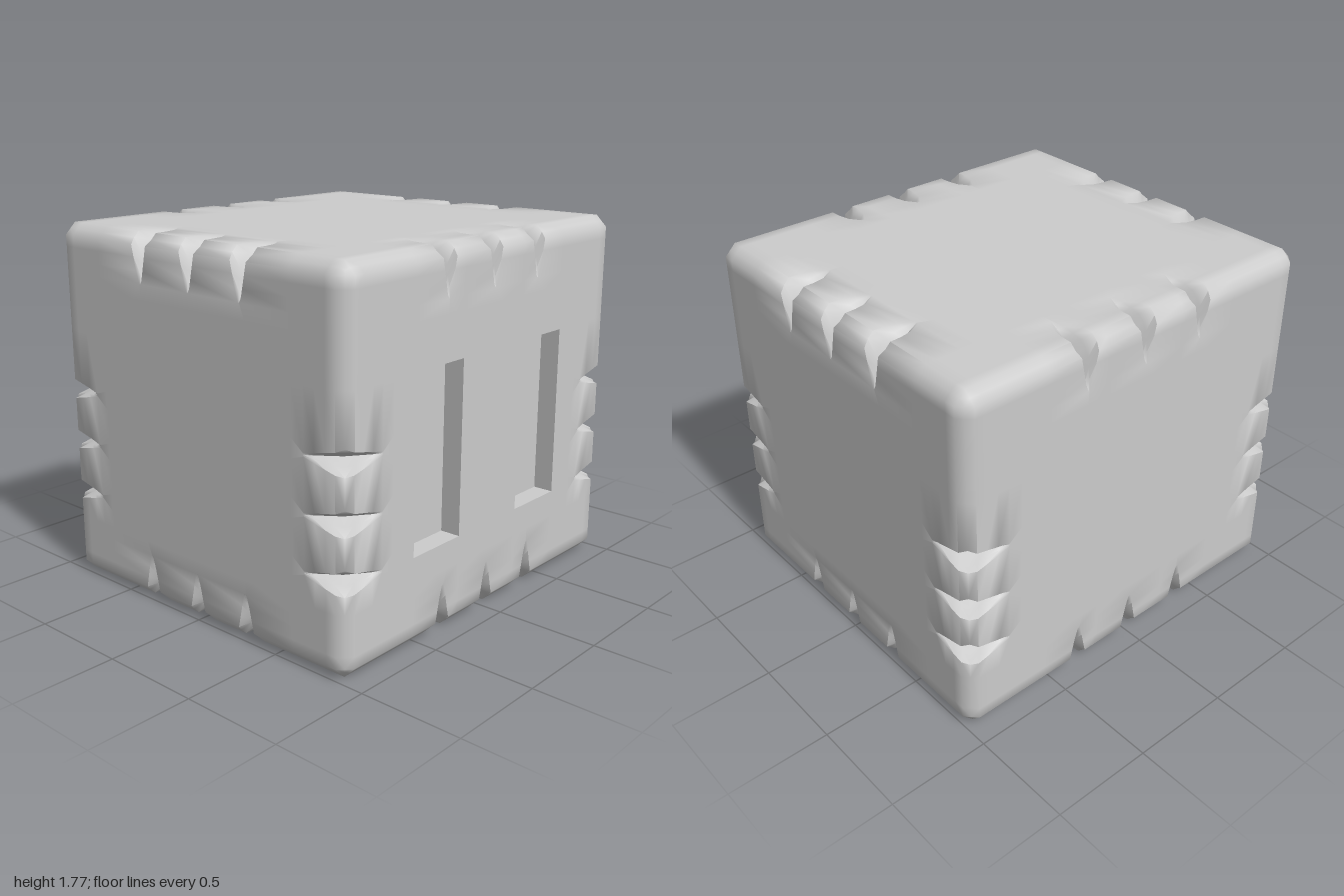
import * as THREE from 'three';
import { toCreasedNormals } from 'three/addons/utils/BufferGeometryUtils.js';

const HALF = [1, 0.885, 0.91];          // half width, height, depth
const BEVEL = 0.055;
const NOTCH_HALF = 0.06, NOTCH_REACH = 0.23, NOTCH_DEPTH = 0.42;
const NOTCHES = [[-0.34, 0, 0.34], [-0.445, -0.185, 0.075], [-0.32, 0, 0.32]];
const SLOT = { x0: 0.225, x1: 0.555, y0: -0.455, y1: 0.375, depth: 0.1 };

// Grid lines per axis, so that bevels, notches and slots land on real edges
function gridLines(axis) {
  const lines = [];
  for (const inset of [0, BEVEL, 0.11, 0.17, NOTCH_REACH, 0.3]) {
    lines.push(HALF[axis] - inset, inset - HALF[axis]);
  }
  for (const c of NOTCHES[axis]) lines.push(c - NOTCH_HALF, c - NOTCH_HALF / 2, c, c + NOTCH_HALF / 2, c + NOTCH_HALF);
  if (axis === 0) lines.push(SLOT.x0, SLOT.x1, -SLOT.x0, -SLOT.x1);
  if (axis === 1) lines.push(SLOT.y0, SLOT.y1);
  return lines.sort((a, b) => a - b).filter((v, i, all) => i === 0 || v - all[i - 1] > 1e-4);
}

// Flatten the edges and corners of a plain box into bevels
function bevel(p) {
  const core = p.map((v, i) => Math.max(BEVEL - HALF[i], Math.min(HALF[i] - BEVEL, v)));
  const sum = p.reduce((s, v, i) => s + Math.abs(v - core[i]), 0);
  const scale = sum > 1e-6 ? Math.min(1, BEVEL / sum) : 1;
  return p.map((v, i) => core[i] + (v - core[i]) * scale);
}

// Sink V-shaped notches across the edges, narrowing away from each edge
function shapePoint(p) {
  const out = bevel(p);
  for (let k = 0; k < 3; k++) {
    const i = (k + 1) % 3, j = (k + 2) % 3;
    const a = HALF[i] - Math.abs(p[i]), b = HALF[j] - Math.abs(p[j]);
    const t = Math.max(a, b);
    if (Math.min(a, b) > 1e-6 || t > NOTCH_REACH + 1e-6) continue;
    const onTopOrBottom = (i === 1 && a < b) || (j === 1 && b < a);
    for (const c of NOTCHES[k]) {
      const u = p[k] - c;
      if (Math.abs(u) > NOTCH_HALF + 1e-6) continue;
      const w = Math.max(0, 1 - Math.abs(u) / NOTCH_HALF);
      const sink = (NOTCH_REACH - t) * NOTCH_DEPTH;
      for (const m of [i, j]) {
        const target = p[m] - Math.sign(p[m]) * sink;
        out[m] += (target - out[m]) * w;
      }
      const r = t / NOTCH_REACH;
      out[k] = c + u * (1 - 0.85 * (onTopOrBottom ? r ** 4 : r));
    }
  }
  return out;
}

function bodyGeometry() {
  const lines = [0, 1, 2].map(gridLines);
  const positions = [];
  for (let n = 0; n < 3; n++) {
    const a = (n + 1) % 3, b = (n + 2) % 3;
    for (const side of [1, -1]) {
      const corner = (u, v) => {
        const p = [0, 0, 0];
        p[n] = side * HALF[n]; p[a] = u; p[b] = v;
        return shapePoint(p);
      };
      for (let i = 0; i < lines[a].length - 1; i++) {
        for (let j = 0; j < lines[b].length - 1; j++) {
          const u0 = lines[a][i], u1 = lines[a][i + 1], v0 = lines[b][j], v1 = lines[b][j + 1];
          // leave the two slots open in the front face
          const mx = Math.abs(u0 + u1) / 2, my = (v0 + v1) / 2;
          if (n === 2 && side === 1 && mx > SLOT.x0 && mx < SLOT.x1 && my > SLOT.y0 && my < SLOT.y1) continue;
          const q = [corner(u0, v0), corner(u1, v0), corner(u1, v1), corner(u0, v1)];
          if (side < 0) q.reverse();
          for (const m of [0, 1, 2, 0, 2, 3]) positions.push(...q[m]);
        }
      }
    }
  }
  const geometry = new THREE.BufferGeometry();
  geometry.setAttribute('position', new THREE.Float32BufferAttribute(positions, 3));
  return toCreasedNormals(geometry, 1.1);
}

// Recessed slot: a floor and four inward-facing walls
function slot(side, material) {
  const group = new THREE.Group();
  group.name = side > 0 ? 'leftSlot' : 'rightSlot';
  const w = SLOT.x1 - SLOT.x0, h = SLOT.y1 - SLOT.y0, d = SLOT.depth;
  const panel = (name, pw, ph, x, y, z, rx, ry) => {
    const mesh = new THREE.Mesh(new THREE.PlaneGeometry(pw, ph), material);
    mesh.name = name;
    mesh.position.set(x, y, z);
    mesh.rotation.set(rx, ry, 0);
    group.add(mesh);
  };
  panel('slotFloor', w, h, 0, 0, -d, 0, 0);
  for (const s of [1, -1]) {
    panel('slotSideWall', d, h, s * w / 2, 0, -d / 2, 0, -s * Math.PI / 2);
    panel('slotEndWall', w, d, 0, s * h / 2, -d / 2, s * Math.PI / 2, 0);
  }
  group.position.set(side * (SLOT.x0 + SLOT.x1) / 2, HALF[1] + (SLOT.y0 + SLOT.y1) / 2, HALF[2]);
  return group;
}

export function createModel() {
  const model = new THREE.Group();
  model.name = 'notchedBlock';
  const material = new THREE.MeshStandardMaterial({ color: 0xcccccc });
  const body = new THREE.Mesh(bodyGeometry(), material);
  body.name = 'body';
  body.position.y = HALF[1];
  model.add(body, slot(1, material), slot(-1, material));
  return model;
}
